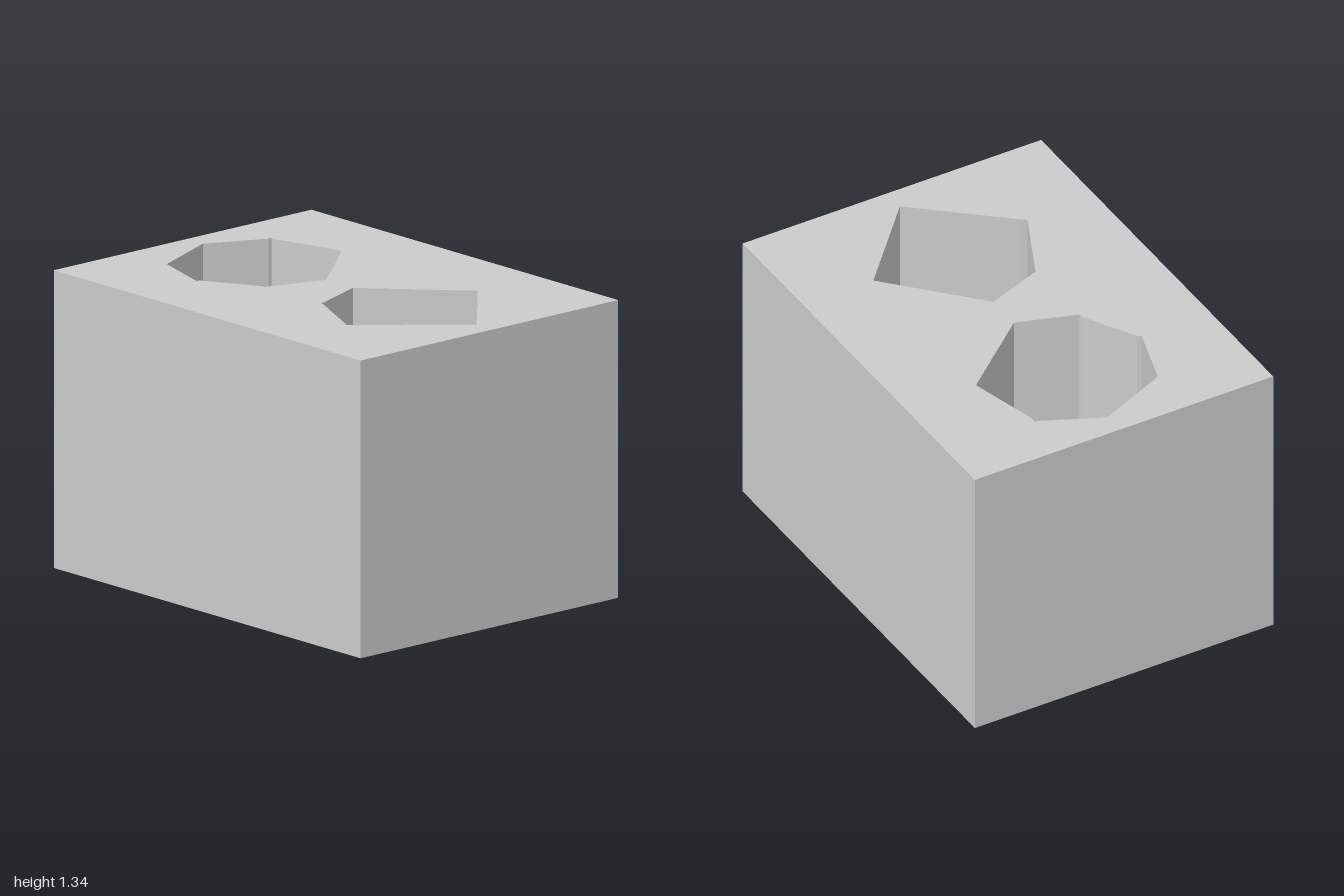
import * as THREE from 'three';

const WIDTH = 2, HEIGHT = 1.34, DEPTH = 1.5;

// Outlines of the openings in plan, as [x, z]
const sevenSidedOpening = [
  [-0.895, -0.024], [-0.767, -0.293], [-0.767, -0.309], [-0.73, -0.311],
  [-0.405, -0.397], [-0.392, -0.382], [-0.093, -0.024], [-0.185, 0.25],
  [-0.2, 0.25], [-0.447, 0.388], [-0.457, 0.405], [-0.745, 0.318], [-0.755, 0.302],
];
const fiveSidedOpening = [
  [0.083, -0.024], [0.48, -0.397], [0.89, -0.024], [0.537, 0.388],
  [0.527, 0.405], [0.195, 0.25], [0.18, 0.25], [0.176, 0.228],
];

const toPoints = (pairs) => pairs.map(([x, z]) => new THREE.Vector2(x, z));

export function createModel() {
  const group = new THREE.Group();
  group.name = 'blockWithOpenings';

  // Rectangular plan pierced by both openings
  const w = WIDTH / 2, d = DEPTH / 2;
  const plan = new THREE.Shape(toPoints([[-w, -d], [w, -d], [w, d], [-w, d]]));
  for (const outline of [sevenSidedOpening, fiveSidedOpening]) {
    plan.holes.push(new THREE.Path(toPoints(outline)));
  }

  // Extruded plan, turned so the openings run vertically
  const geometry = new THREE.ExtrudeGeometry(plan, { depth: HEIGHT, bevelEnabled: false });
  geometry.rotateX(Math.PI / 2).translate(0, HEIGHT, 0);

  const block = new THREE.Mesh(
    geometry,
    new THREE.MeshStandardMaterial({ color: 0xcccccc, flatShading: true }),
  );
  block.name = 'block';
  group.add(block);
  return group;
}
